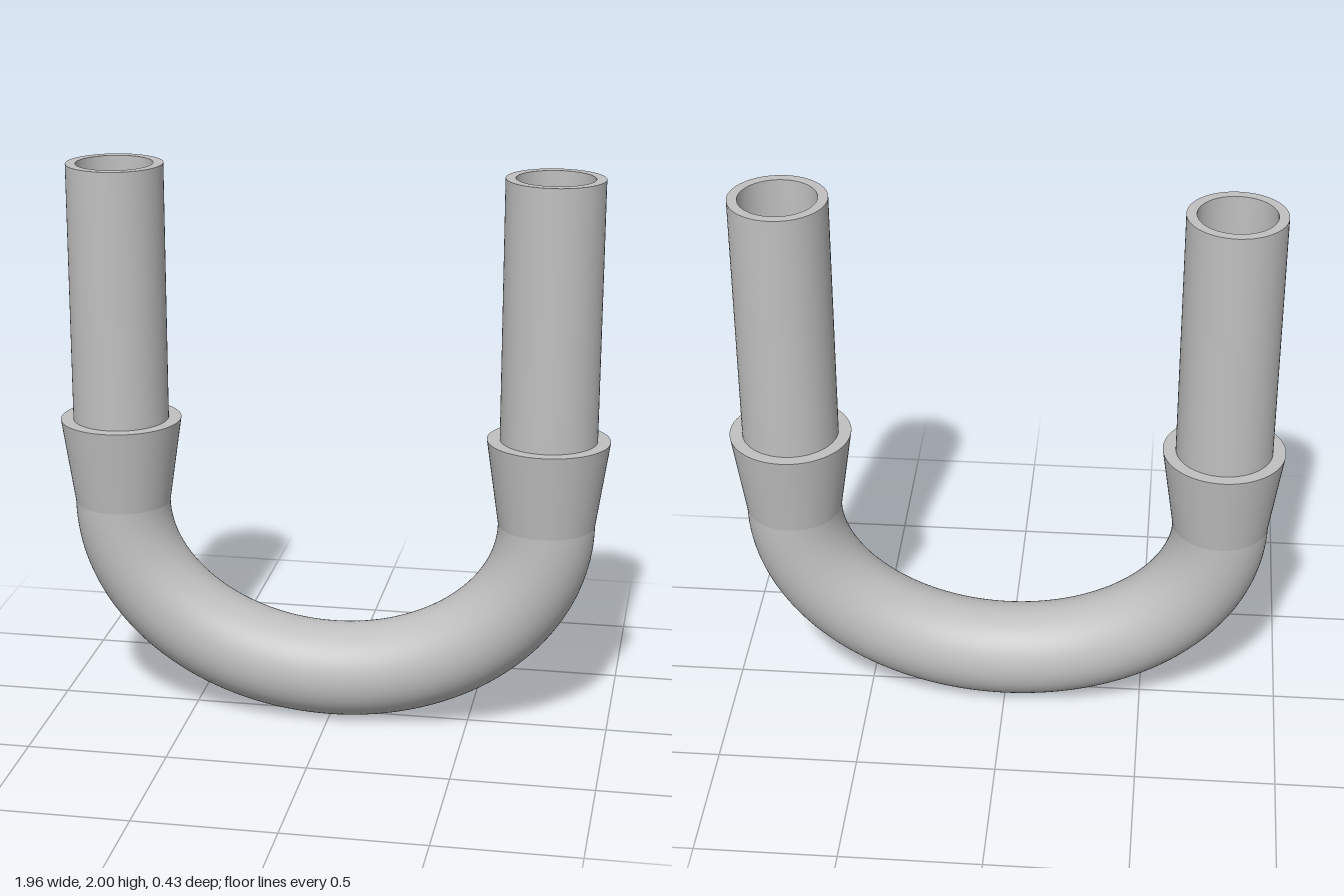
import * as THREE from 'three';
import { toCreasedNormals } from 'three/addons/utils/BufferGeometryUtils.js';

const LEG_X = 0.765;      // leg axis distance from the centre
const OUTER = 0.17;       // outside pipe radius
const BORE = 0.135;       // inside pipe radius
const BEND_Y = 0.77;      // height where the bend meets the legs
const COLLAR_Y = 1.08;    // top of the flared collar
const SEGMENTS = 64;

// Half-ellipse centreline of the bend
class BendCurve extends THREE.Curve {
  getPoint(t, target = new THREE.Vector3()) {
    const a = Math.PI * (1 + t);
    return target.set(LEG_X * Math.cos(a), BEND_Y + (BEND_Y - OUTER) * Math.sin(a), 0);
  }
}

// Turns a surface inside out
function flip(geometry) {
  geometry.index.array.reverse();
  const normals = geometry.attributes.normal.array;
  for (let i = 0; i < normals.length; i++) normals[i] *= -1;
  return geometry;
}

function lathe(profile) {
  const points = profile.map(([r, y]) => new THREE.Vector2(r, y));
  return toCreasedNormals(new THREE.LatheGeometry(points, SEGMENTS), Math.PI / 6);
}

export function createModel() {
  const model = new THREE.Group();
  model.name = 'uBendPipe';
  const grey = new THREE.MeshStandardMaterial({ color: 0xc0c0c0 });
  grey.name = 'light grey';

  function add(name, geometry, x = 0) {
    const mesh = new THREE.Mesh(geometry, grey);
    mesh.name = name;
    mesh.position.x = x;
    model.add(mesh);
  }

  // Hollow bend
  const curve = new BendCurve();
  add('bend', new THREE.TubeGeometry(curve, 96, OUTER, SEGMENTS));
  add('bendBore', flip(new THREE.TubeGeometry(curve, 96, BORE, SEGMENTS)));

  // Flared collar with a flat lip, and the straight hollow pipe above it
  const collar = lathe([[OUTER, BEND_Y], [0.215, COLLAR_Y], [OUTER, COLLAR_Y]]);
  const pipe = lathe([[OUTER, COLLAR_Y], [OUTER, 2], [BORE, 2], [BORE, BEND_Y]]);
  for (const [side, sign] of [['left', 1], ['right', -1]]) {
    add(side + 'Collar', collar, sign * LEG_X);
    add(side + 'Pipe', pipe, sign * LEG_X);
  }
  return model;
}
